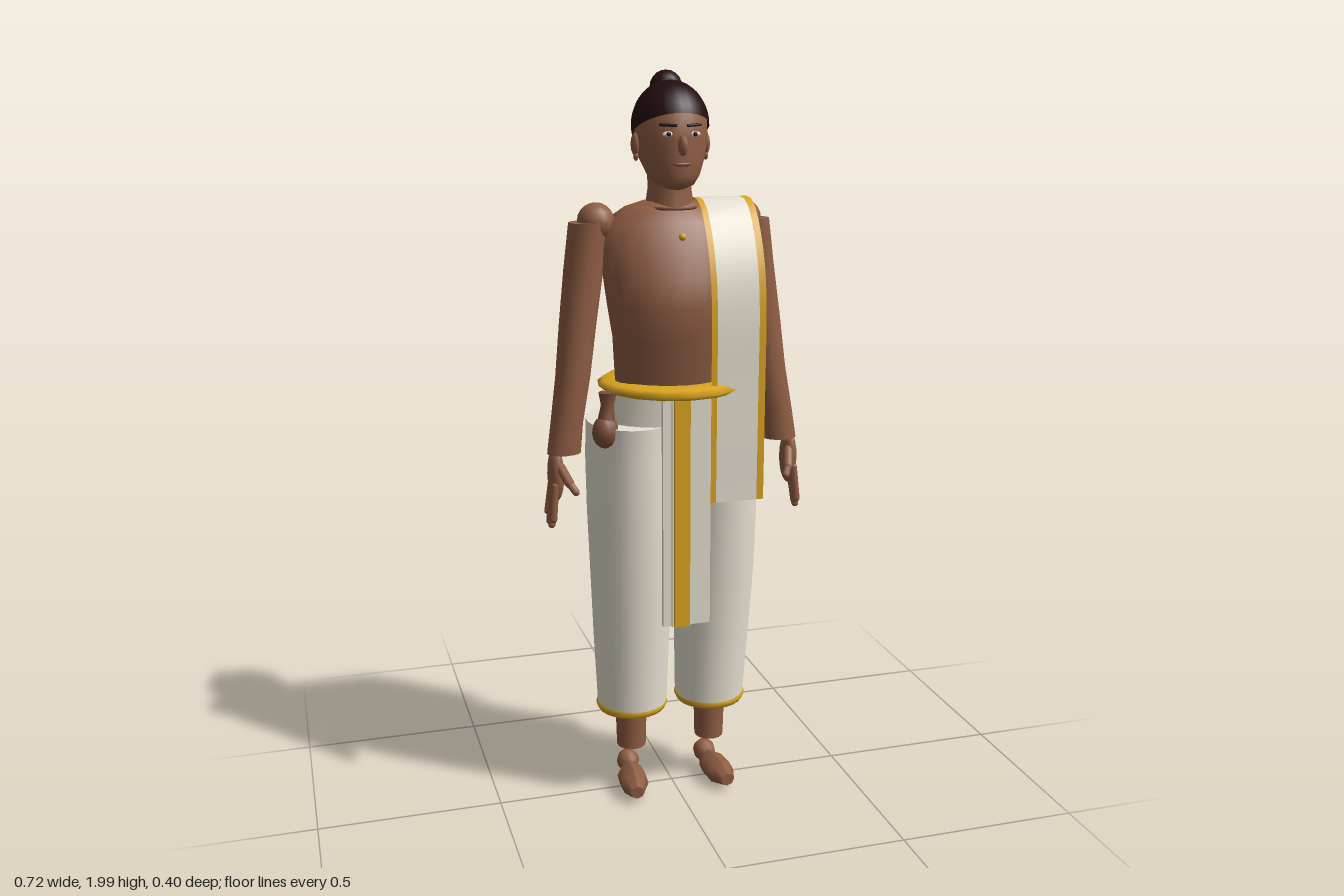
import * as THREE from 'three';

const mat = (name, color, side = THREE.FrontSide) => {
  const m = new THREE.MeshStandardMaterial({ color, side });
  m.name = name;
  return m;
};

export function createModel() {
  const root = new THREE.Group();
  root.name = 'standingMan';
  const skin = mat('skin', 0x8f5d43);
  const hairMat = mat('hair', 0x260c0e);
  const cloth = mat('cloth', 0xe8e2d2, THREE.DoubleSide);
  const gold = mat('gold', 0xdaa520, THREE.DoubleSide);
  const white = mat('eyeWhite', 0xf2eee6);
  const dark = mat('dark', 0x1c0d0a);
  const leather = mat('leather', 0x80503a);
  const lip = mat('lip', 0x7a4a38);

  const add = (name, geo, material, parent = root) => {
    const m = new THREE.Mesh(geo, material);
    m.name = name;
    parent.add(m);
    return m;
  };

  // Stacked ellipses, top to bottom: [y, cx, cz, rx, rz]
  const loft = (sections, segs = 20) => {
    const n = sections.length - 1;
    const g = new THREE.CylinderGeometry(1, 1, 1, segs, n, false, Math.PI);
    const p = g.attributes.position;
    for (let i = 0; i < p.count; i++) {
      const [y, cx, cz, rx, rz] = sections[Math.round((0.5 - p.getY(i)) * n)];
      p.setXYZ(i, cx + rx * p.getX(i), y, cz + rz * p.getZ(i));
    }
    g.computeVertexNormals();
    return g;
  };
  const ball = (x, y, z, rx, ry = rx, rz = rx, segs = 14) =>
    new THREE.SphereGeometry(1, segs, Math.max(6, segs - 4)).scale(rx, ry, rz).translate(x, y, z);
  const capsule = (a, b, r) => {
    const va = new THREE.Vector3(...a), vb = new THREE.Vector3(...b);
    const dir = vb.clone().sub(va);
    const g = new THREE.CapsuleGeometry(r, dir.length(), 3, 8);
    g.applyQuaternion(new THREE.Quaternion().setFromUnitVectors(new THREE.Vector3(0, 1, 0), dir.normalize()));
    return g.translate(...va.add(vb).multiplyScalar(0.5).toArray());
  };
  const flatRing = (x, y, z, R, tube, squash, segs) =>
    new THREE.TorusGeometry(R, tube, 8, segs).rotateX(Math.PI / 2).scale(1, squash, 1).translate(x, y, z);

  // Torso and neck
  add('torso', loft([
    [1.67, 0, -0.025, 0.07, 0.055], [1.655, 0, -0.025, 0.12, 0.075], [1.62, 0, -0.015, 0.178, 0.097],
    [1.55, 0, -0.002, 0.192, 0.114], [1.48, 0, 0.012, 0.188, 0.127], [1.41, 0, 0.022, 0.18, 0.134],
    [1.32, 0, 0.022, 0.166, 0.122], [1.2, 0, 0.018, 0.16, 0.1], [1.12, 0, 0.01, 0.155, 0.095],
  ], 24), skin);
  add('neck', loft([[1.76, 0, -0.02, 0.058, 0.062], [1.7, 0, -0.02, 0.057, 0.062], [1.64, 0, -0.02, 0.066, 0.07]]), skin);
  add('pelvis', ball(0, 1.07, 0, 0.1, 0.09, 0.1), skin);
  add('neckCord', flatRing(0, 1.655, 0, 0.066, 0.004, 1, 24), lip);
  add('pendant', ball(0, 1.587, 0.1, 0.01, 0.01, 0.008, 10), gold);

  // Head and face
  const head = new THREE.Group();
  head.name = 'head';
  root.add(head);
  add('skull', loft([
    [1.955, 0, -0.015, 0.03, 0.03], [1.93, 0, -0.012, 0.075, 0.08], [1.88, 0, -0.008, 0.093, 0.102],
    [1.83, 0, -0.006, 0.093, 0.104], [1.78, 0, 0, 0.084, 0.098], [1.74, 0, 0.015, 0.068, 0.083],
    [1.715, 0, 0.03, 0.048, 0.06], [1.703, 0, 0.035, 0.02, 0.03],
  ], 24), skin, head);
  const cap = new THREE.SphereGeometry(1, 28, 14, 0, Math.PI * 2, 0, 1.68);
  cap.rotateX(-0.42).scale(0.1, 0.115, 0.116).translate(0, 1.86, -0.014);
  const hairCap = mat('hairCap', 0x260c0e, THREE.DoubleSide);
  add('hairCap', cap, hairCap, head);
  add('hairBun', ball(0, 1.957, -0.052, 0.043), hairCap, head);
  add('nose', ball(0, 1.815, 0.1, 0.013, 0.026, 0.019, 10), skin, head);
  add('mouth', ball(0, 1.768, 0.094, 0.024, 0.006, 0.006, 10), lip, head);
  for (const s of [-1, 1]) {
    add('eye', ball(s * 0.035, 1.843, 0.089, 0.015, 0.007, 0.006, 10), white, head);
    add('pupil', ball(s * 0.035, 1.843, 0.094, 0.006, 0.006, 0.003, 8), dark, head);
    add('eyebrow', capsule([s * 0.016, 1.864, 0.094], [s * 0.052, 1.866, 0.08], 0.004), dark, head);
    add('ear', ball(s * 0.094, 1.815, -0.01, 0.012, 0.03, 0.02, 10), skin, head);
    add('earlobe', ball(s * 0.094, 1.785, -0.005, 0.007, 0.012, 0.009, 8), skin, head);
  }

  for (const s of [-1, 1]) {
    // Arms
    const arm = new THREE.Group();
    arm.name = s > 0 ? 'leftArm' : 'rightArm';
    root.add(arm);
    add('shoulder', ball(s * 0.2, 1.62, -0.014, 0.05), skin, arm);
    add('armSleeve', loft([
      [1.62, s * 0.222, -0.012, 0.05, 0.052], [1.5, s * 0.235, -0.012, 0.052, 0.054],
      [1.36, s * 0.255, -0.002, 0.049, 0.05], [1.22, s * 0.273, 0.008, 0.046, 0.046],
      [1.1, s * 0.294, 0.02, 0.043, 0.04], [1.02, s * 0.304, 0.025, 0.045, 0.034],
    ], 14), skin, arm);

    // Hands
    add('palm', ball(s * 0.328, 0.965, 0.028, 0.022, 0.075, 0.036), skin, arm);
    for (let i = 0; i < 4; i++) {
      const tip = [0.85, 0.832, 0.838, 0.862][i];
      add('finger', capsule([s * 0.335, 0.94, 0.054 - i * 0.016],
        [s * (0.343 + 0.002 * i), tip, 0.06 - i * 0.014], 0.01), skin, arm);
    }
    add('thumb', capsule([s * 0.32, 0.99, 0.05], [s * 0.305, 0.955, 0.09], 0.013), skin, arm);
    add('thumbTip', capsule([s * 0.305, 0.955, 0.09], [s * 0.292, 0.935, 0.11], 0.01), skin, arm);

    // Trouser legs with gold hems
    const leg = new THREE.Group();
    leg.name = s > 0 ? 'leftLeg' : 'rightLeg';
    root.add(leg);
    add('trouserLeg', loft([
      [1.095, s * 0.12, -0.002, 0.113, 0.143], [1.0, s * 0.123, 0, 0.114, 0.139],
      [0.85, s * 0.123, 0.007, 0.114, 0.126], [0.65, s * 0.12, 0.01, 0.111, 0.11],
      [0.48, s * 0.117, 0, 0.106, 0.103], [0.27, s * 0.114, -0.01, 0.097, 0.098],
    ], 24), cloth, leg);
    add('hem', flatRing(s * 0.115, 0.27, -0.01, 0.077, 0.024, 0.85, 24), gold, leg);

    // Ankles and feet
    add('ankle', loft([[0.32, s * 0.116, -0.014, 0.046, 0.048], [0.135, s * 0.116, -0.014, 0.041, 0.043]], 14), skin, leg);
    const foot = new THREE.Group();
    foot.name = 'foot';
    foot.position.set(s * 0.116, 0, -0.055);
    foot.rotation.y = s * 0.1;
    leg.add(foot);
    add('heel', ball(0, 0.06, 0, 0.033, 0.033, 0.033, 10), skin, foot);
    const sole = loft([[0.17, 0, 0, 0.02, 0.018], [0.12, 0, 0, 0.04, 0.035], [0.06, 0, 0, 0.04, 0.034], [0.015, 0, 0, 0.022, 0.022]], 8);
    add('forefoot', sole.rotateX(Math.PI / 2).translate(0, 0.045, 0), skin, foot);
  }

  // Waist cloth and belt
  add('waistCloth', loft([[1.19, 0, 0, 0.172, 0.125], [1.14, 0, 0, 0.18, 0.128], [1.075, 0, 0, 0.186, 0.13]], 28), cloth);
  add('belt', flatRing(0, 1.19, 0, 0.148, 0.054, 0.32, 16), gold);

  // Hanging pleat in front with its stripe
  const slab = (name, x0, x1, z0, z1, material) => {
    const g = new THREE.BoxGeometry(x1 - x0, 0.625, z1 - z0);
    g.translate((x0 + x1) / 2, 0.862, (z0 + z1) / 2);
    add(name, g, material);
  };
  slab('frontPleat', -0.068, 0.063, 0.14, 0.153, cloth);
  slab('pleatFold', -0.045, 0.008, 0.153, 0.16, cloth);
  slab('pleatStripe', -0.04, 0.003, 0.16, 0.166, gold);

  // Small bag tied at the right hip
  add('pouch', ball(-0.205, 1.085, 0.085, 0.036, 0.044, 0.036, 12), leather);
  add('pouchNeck', loft([[1.19, -0.197, 0.08, 0.024, 0.024], [1.155, -0.198, 0.08, 0.017, 0.017], [1.11, -0.203, 0.084, 0.024, 0.024]], 10), leather);

  // Shoulder sash: a thin ribbon from back hem over the left shoulder to front hem
  const curve = new THREE.CatmullRomCurve3([
    [1.02, -0.153], [1.3, -0.154], [1.5, -0.147], [1.61, -0.118], [1.665, -0.06], [1.677, -0.01],
    [1.66, 0.045], [1.59, 0.098], [1.5, 0.135], [1.4, 0.15], [1.2, 0.15], [0.885, 0.147],
  ].map(([y, z]) => new THREE.Vector3(0, y, z)), false, 'centripetal');
  const rows = 40, path = curve.getSpacedPoints(rows);
  const ribbon = (name, x0, x1, material) => {
    const g = new THREE.PlaneGeometry(x1 - x0, 1, 1, rows);
    const p = g.attributes.position;
    for (let i = 0; i < p.count; i++) {
      const q = path[Math.floor(i / 2)];
      p.setXYZ(i, i % 2 ? x1 : x0, q.y, q.z);
    }
    g.computeVertexNormals();
    add(name, g, material);
  };
  ribbon('sashInnerBorder', 0.064, 0.08, gold);
  ribbon('sash', 0.08, 0.194, cloth);
  ribbon('sashOuterBorder', 0.194, 0.213, gold);

  return root;
}
